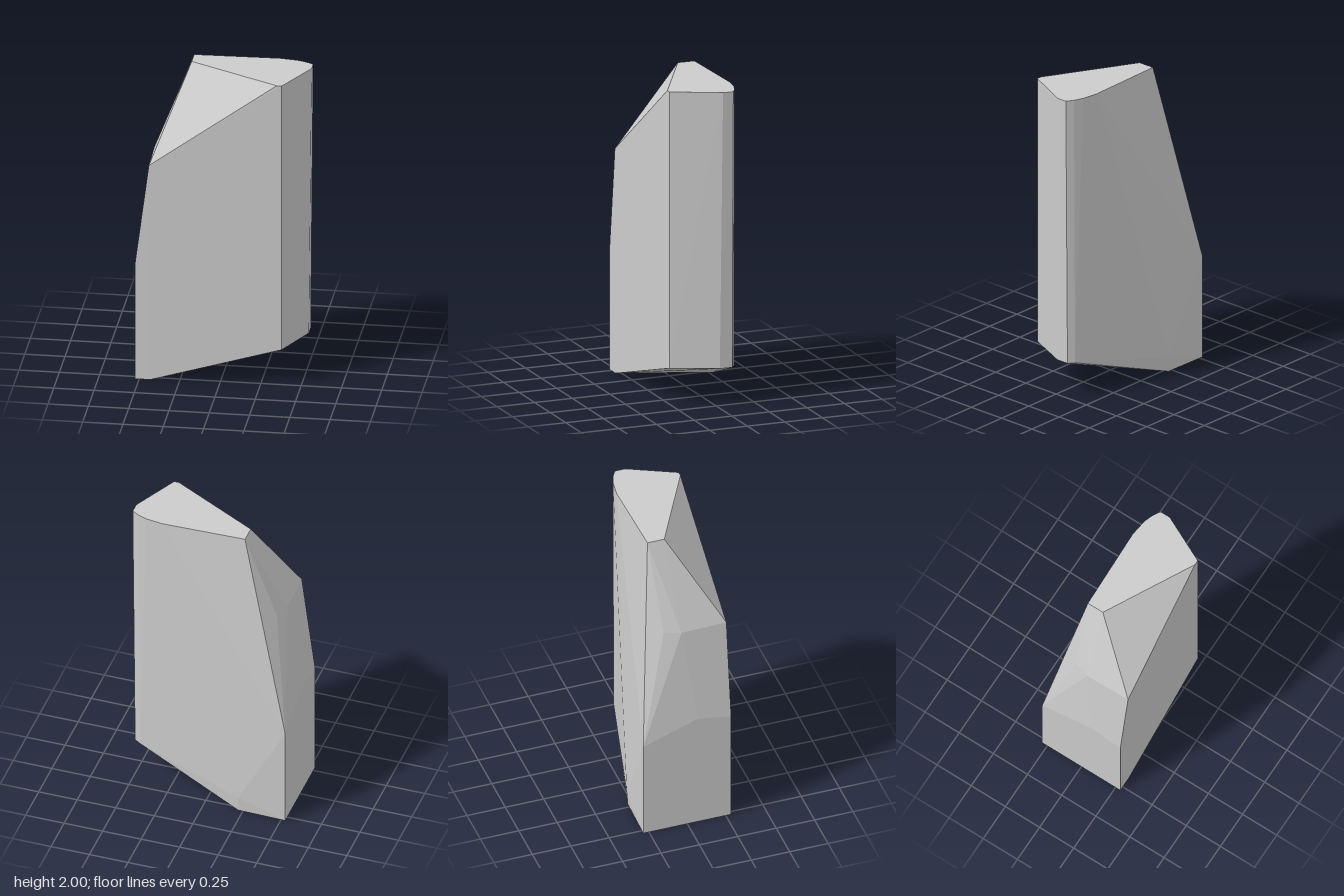
import * as THREE from 'three';
import { ConvexGeometry } from 'three/addons/geometries/ConvexGeometry.js';

const at = (y, ring) => ring.map(([x, z]) => new THREE.Vector3(x, y, z));

export function createModel() {
  const group = new THREE.Group();
  group.name = 'rock';

  const corners = [
    // flat top
    ...at(2, [[-0.22, -0.152], [-0.22, -0.042], [0.35, 0.263], [0.381, 0.263], [0.525, -0.035],
      [0.525, -0.103], [0.48, -0.13], [0.42, -0.152], [0.31, -0.167]]),
    // shoulder on the right side
    ...at(1.43, [[-0.44, 0.285], [-0.447, -0.01], [-0.415, -0.115]]),
    // upper edge of the upright right face
    ...at(0.76, [[-0.527, 0.285]]),
    ...at(0.8, [[-0.527, 0.07]]),
    ...at(0.67, [[-0.527, -0.287]]),
    // raised underside on the left
    ...at(0.238, [[0.381, 0.263], [0.51, -0.02], [0.51, -0.103], [0.47, -0.13]]),
    // back lower corner
    ...at(0.1, [[-0.22, -0.287]]),
    // foot
    ...at(0, [[-0.527, 0.285], [-0.43, 0.285], [-0.22, -0.28], [-0.527, -0.287]]),
  ];

  const stone = new THREE.Mesh(
    new ConvexGeometry(corners),
    new THREE.MeshStandardMaterial({ color: 0xcccccc, flatShading: true })
  );
  stone.name = 'stone';
  group.add(stone);
  return group;
}
